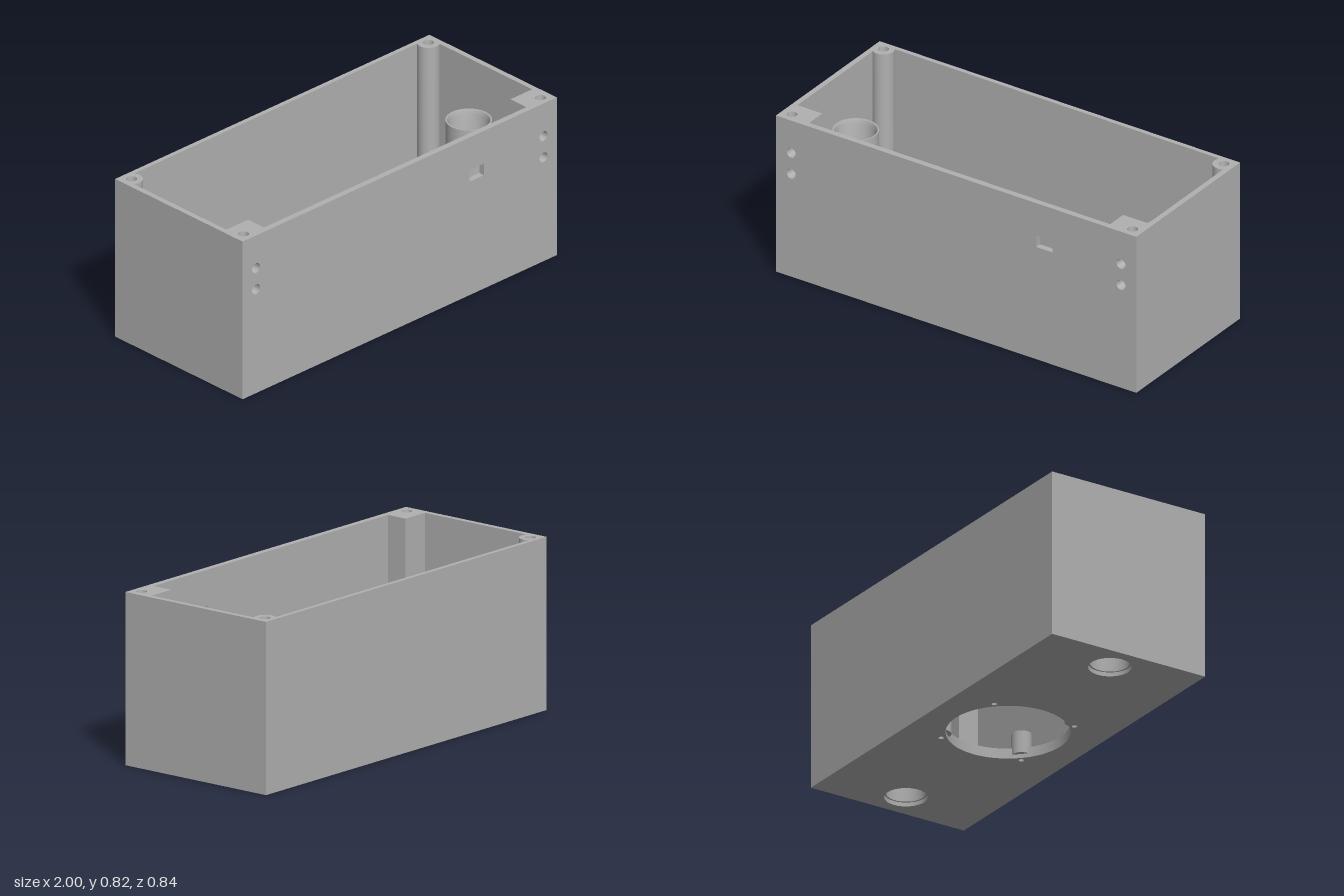
import * as THREE from 'three';
import { toCreasedNormals } from 'three/addons/utils/BufferGeometryUtils.js';

const W = 1, H = 0.82, D = 0.42;          // half width, height, half depth
const FLOOR = 0.05, IN_X = 0.973, BACK_Z = -0.397, FRONT_Z = 0.39;
const POST_X = 0.835, POST_Z = 0.285;     // square front posts
const SCREW_X = 0.945, SCREW_Z = 0.369, SCREW_R = 0.025;

const rect = (x0, y0, x1, y1, Type = THREE.Shape) => new Type([
  new THREE.Vector2(x0, y0), new THREE.Vector2(x1, y0),
  new THREE.Vector2(x1, y1), new THREE.Vector2(x0, y1)]);
const circle = (x, y, r) => new THREE.Path().absarc(x, y, r, 0, Math.PI * 2, true);

// Outline of the cavity as [x, z], starting and ending at the front posts
function cavityOutline() {
  const half = [[POST_X, FRONT_Z], [POST_X, POST_Z], [IN_X, POST_Z]];
  const r = 0.053;
  const a0 = Math.acos((IN_X - SCREW_X) / r);
  const a1 = Math.PI - Math.asin((BACK_Z + SCREW_Z) / r);
  for (let i = 0; i <= 12; i++) {
    const a = a0 + (a1 - a0) * i / 12;
    half.push([SCREW_X + r * Math.cos(a), -SCREW_Z + r * Math.sin(a)]);
  }
  half[half.length - 1][1] = BACK_Z;
  return [...half, ...half.map(([x, z]) => [-x, z]).reverse()];
}

export function createModel() {
  const group = new THREE.Group();
  const grey = new THREE.MeshStandardMaterial({ color: 0xb0b0b0, side: THREE.DoubleSide });
  grey.name = 'grey plastic';

  const add = (name, geo, x = 0, y = 0, z = 0) => {
    const mesh = new THREE.Mesh(geo, grey);
    mesh.name = name;
    mesh.position.set(x, y, z);
    group.add(mesh);
    return mesh;
  };
  const face = (shape, holes = []) => {
    shape.holes.push(...holes);
    return new THREE.ShapeGeometry(shape, 32);
  };
  const lathe = (pts, n = 48) => toCreasedNormals(
    new THREE.LatheGeometry(pts.map(p => new THREE.Vector2(...p)), n), 0.5);

  const outline = cavityOutline();
  const sides = [-1, 1];
  const corners = [[-1, -1], [1, -1], [-1, 1], [1, 1]];
  const tubeX = 0.845, standoff = 0.22, openingR = 0.286;
  const frontHoles = sides.flatMap(s => [[s * 0.915, 0.65], [s * 0.915, 0.54]]);
  const slot = () => rect(0.445, 0.59, 0.535, 0.65, THREE.Path);

  // Outer skin
  add('frontFace', face(rect(-W, 0, W, H),
    [...frontHoles.map(([x, y]) => circle(x, y, SCREW_R)), slot()]), 0, 0, D);
  add('backFace', face(rect(-W, 0, W, H)).rotateY(Math.PI), 0, 0, -D);
  for (const s of sides)
    add('sideFace', face(rect(-D, 0, D, H)).rotateY(s * Math.PI / 2), s * W);
  add('bottomFace', face(rect(-W, -D, W, D), [
    circle(0, 0, openingR),
    ...sides.map(s => circle(s * tubeX, 0, 0.1)),
    ...corners.map(([a, b]) => circle(a * standoff, b * standoff, 0.013)),
  ]).rotateX(Math.PI / 2));
  add('topRim', face(rect(-W, -D, W, D), [
    new THREE.Path(outline.map(([x, z]) => new THREE.Vector2(x, -z))),
    ...corners.map(([a, b]) => circle(a * SCREW_X, b * SCREW_Z, SCREW_R)),
  ]).rotateX(-Math.PI / 2), 0, H);

  // Cavity walls with corner posts
  const pos = [];
  for (let i = 0; i < outline.length - 1; i++) {
    const [ax, az] = outline[i], [bx, bz] = outline[i + 1];
    pos.push(ax, FLOOR, az, bx, FLOOR, bz, bx, H, bz,
      ax, FLOOR, az, bx, H, bz, ax, H, az);
  }
  const walls = new THREE.BufferGeometry();
  walls.setAttribute('position', new THREE.Float32BufferAttribute(pos, 3));
  add('innerWallsAndPosts', toCreasedNormals(walls, 0.5));

  // Inner front wall, symmetric apart from the slot
  const inner = face(rect(-POST_X, FLOOR, POST_X, H), [slot()]);
  add('innerFrontWall', inner, 0, 0, FRONT_Z);
  const t = D - FRONT_Z, mid = (D + FRONT_Z) / 2;
  for (const y of [0.59, 0.65])
    add('slotEdge', new THREE.PlaneGeometry(0.09, t).rotateX(Math.PI / 2), 0.49, y, mid);
  for (const x of [0.445, 0.535])
    add('slotEdge', new THREE.PlaneGeometry(t, 0.06).rotateY(Math.PI / 2), x, 0.62, mid);

  // Cavity floor with the large round opening
  add('innerFloor', face(
    new THREE.Shape(outline.map(([x, z]) => new THREE.Vector2(x, -z))),
    [circle(0, 0, openingR), ...sides.map(s => circle(s * tubeX, 0, 0.1))],
  ).rotateX(-Math.PI / 2), 0, FLOOR);
  add('openingEdge', new THREE.CylinderGeometry(openingR, openingR, FLOOR, 64, 1, true), 0, FLOOR / 2);

  // Upright tubes with a shallow seat at both ends
  for (const s of sides)
    add('tube', lathe([[0.1, 0], [0.1, 0.02], [0.092, 0.02], [0.092, 0.58],
      [0.1, 0.6], [0.107, 0.6], [0.107, FLOOR]]), s * tubeX);

  // Standoffs round the opening, with pilot holes below
  for (const [a, b] of corners) {
    add('standoff', new THREE.CylinderGeometry(0.047, 0.047, 0.11, 32), a * standoff, 0.075, b * standoff);
    add('pilotHole', new THREE.CylinderGeometry(0.013, 0.013, 0.02, 16, 1, true), a * standoff, 0.01, b * standoff);
  }

  // Tapered blind screw holes in the rim and the front
  const bore = depth => lathe([[0, -depth], [0.016, -depth], [SCREW_R, 0]], 24);
  for (const [a, b] of corners)
    add('rimScrewHole', bore(0.12), a * SCREW_X, H, b * SCREW_Z);
  for (const [x, y] of frontHoles)
    add('frontScrewHole', bore(0.1).rotateX(Math.PI / 2), x, y, D);

  return group;
}
